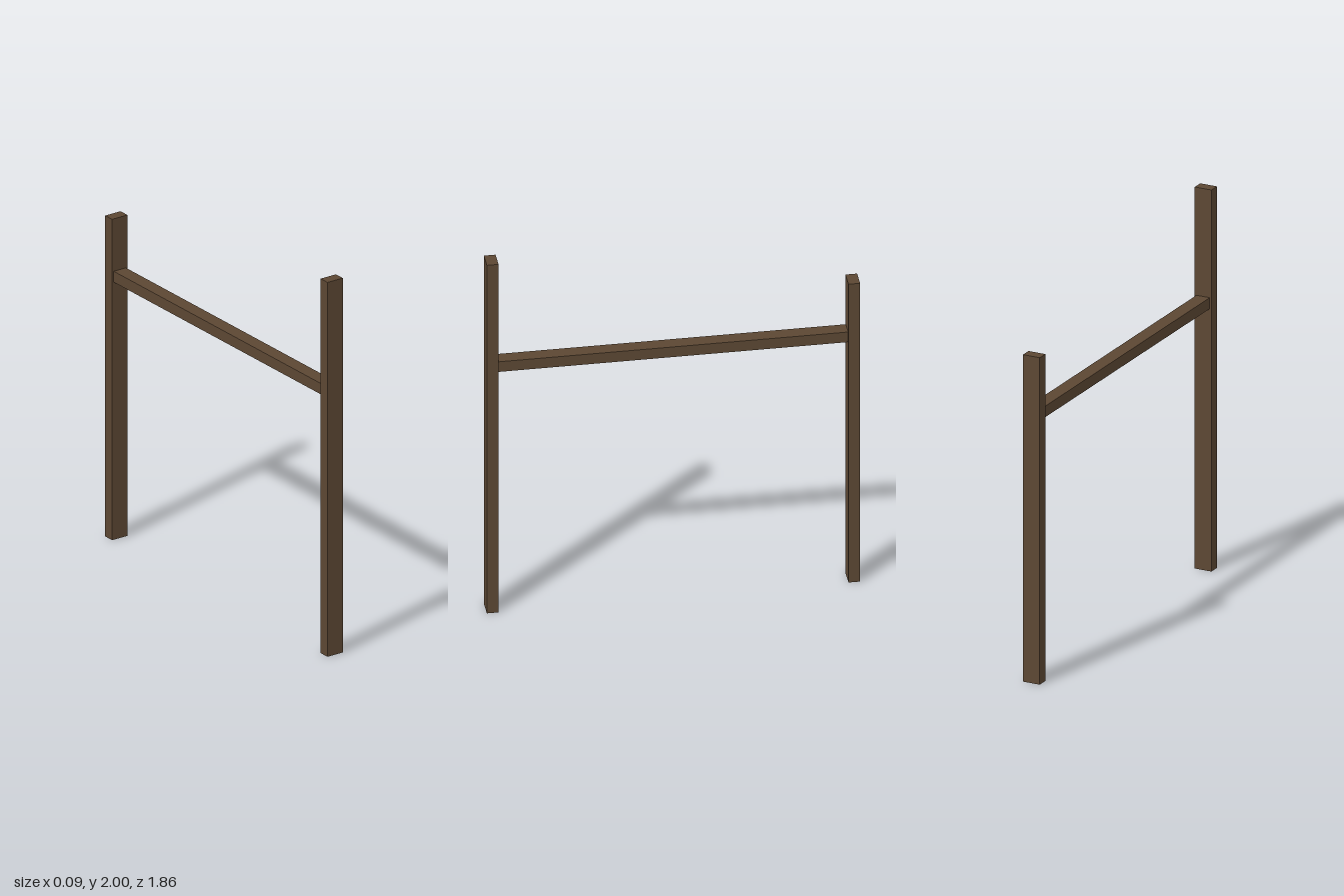
import * as THREE from 'three';

export function createModel() {
  const model = new THREE.Group();
  const darkWood = new THREE.MeshStandardMaterial({ color: 0x5c4733 });
  darkWood.name = 'darkWood';

  const addBeam = (name, [w, h, d], [x, y, z]) => {
    const beam = new THREE.Mesh(new THREE.BoxGeometry(w, h, d), darkWood);
    beam.name = name;
    beam.position.set(x, y, z);
    model.add(beam);
  };

  const postWidth = 0.093, postDepth = 0.058, postZ = 0.9;

  // Upright posts: tall one at the front, shorter one at the back
  for (const [name, height, side] of [['frontPost', 2, 1], ['backPost', 1.714, -1]]) {
    addBeam(name, [postWidth, height, postDepth], [0, height / 2, side * postZ]);
  }

  // Horizontal rail butting against the inner faces of the posts
  addBeam('crossRail', [0.074, 0.058, 2 * postZ - postDepth], [0, 1.405, 0]);

  return model;
}
